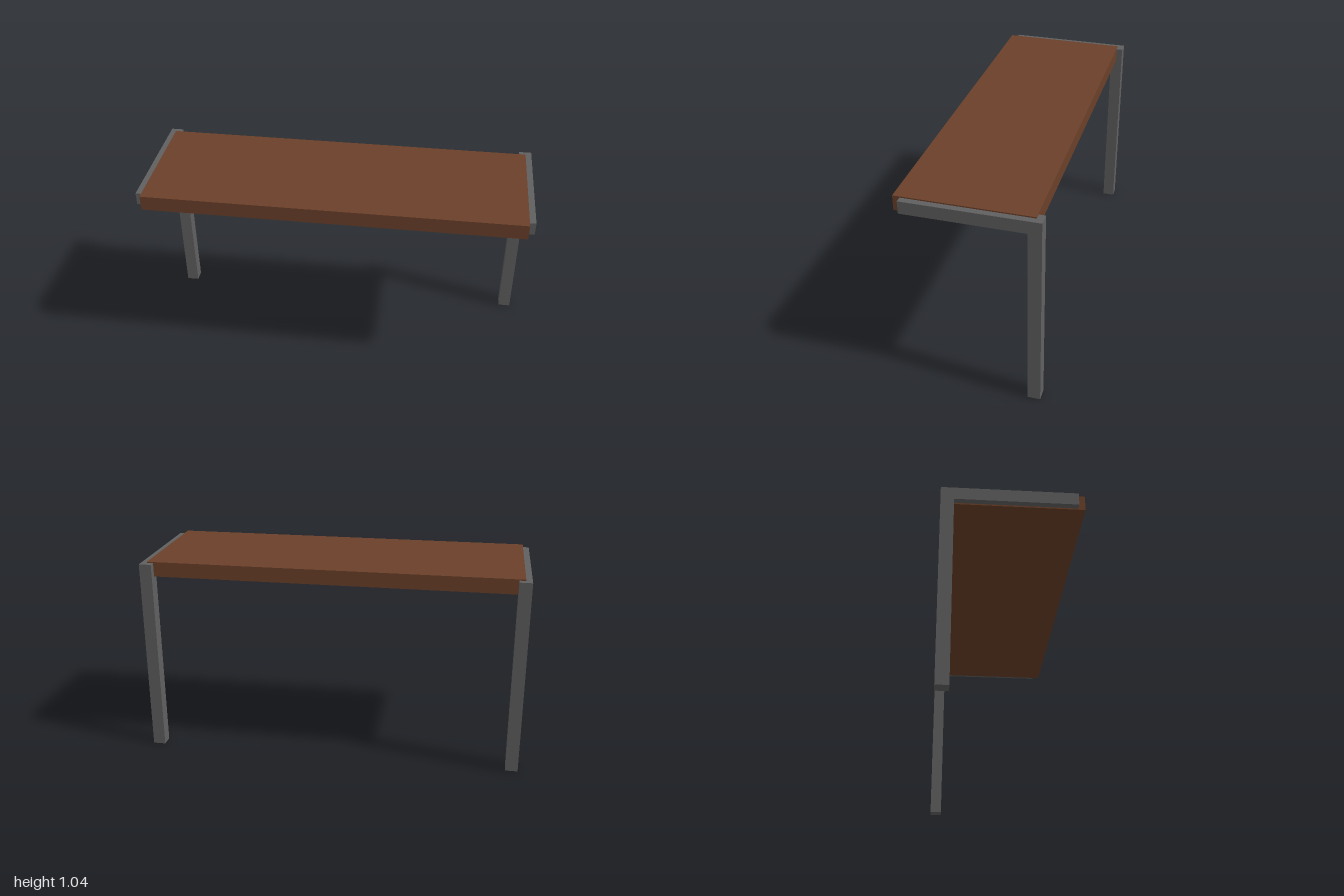
import * as THREE from 'three';

export function createModel() {
  const model = new THREE.Group();
  const wood = new THREE.MeshStandardMaterial({ color: 0x6b4029 });
  const metal = new THREE.MeshStandardMaterial({ color: 0x606060 });

  // Wooden top, held between the two side frames
  const top = new THREE.Mesh(new THREE.BoxGeometry(1.936, 0.078, 0.667), wood);
  top.name = 'tabletop';
  top.position.set(0, 1.002, 0.0165);
  model.add(top);

  // L-shaped side frame: rear leg with an arm reaching forward (shape x = -z)
  const bar = 0.065, back = 0.35, front = -0.315, height = 1.035;
  const profile = new THREE.Shape([
    [back, 0], [back, height], [front, height], [front, height - bar],
    [back - bar, height - bar], [back - bar, 0],
  ].map(([x, y]) => new THREE.Vector2(x, y)));
  const frameGeometry = new THREE.ExtrudeGeometry(profile, { depth: bar, bevelEnabled: false });
  frameGeometry.rotateY(Math.PI / 2).translate(-bar / 2, 0, 0);

  for (const side of [-1, 1]) {
    const frame = new THREE.Mesh(frameGeometry, metal);
    frame.name = side > 0 ? 'leftLegFrame' : 'rightLegFrame';
    frame.position.x = side * (1 - bar / 2);
    model.add(frame);
  }
  return model;
}
